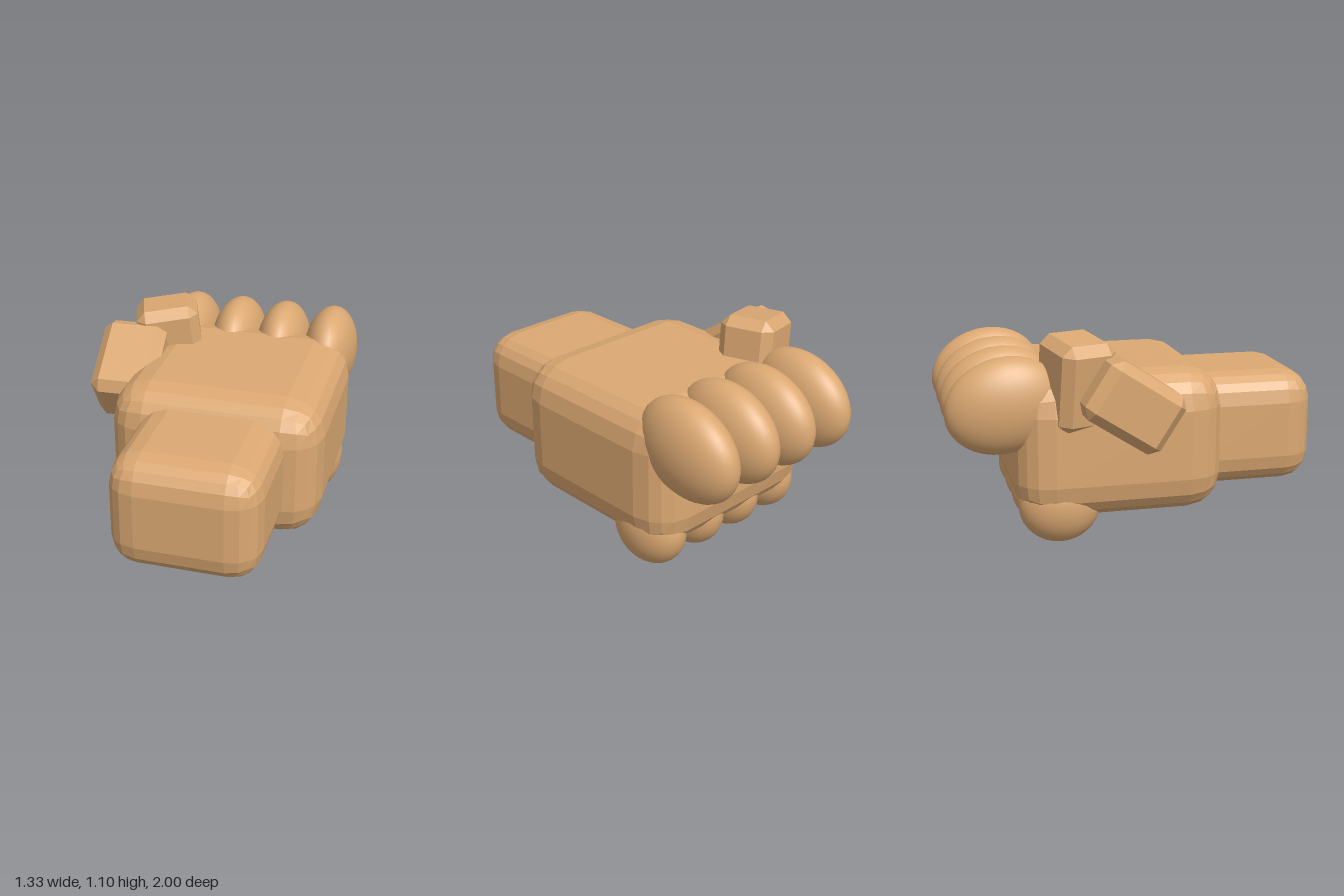
import * as THREE from 'three';
import { RoundedBoxGeometry } from 'three/addons/geometries/RoundedBoxGeometry.js';
import { ConvexGeometry } from 'three/addons/geometries/ConvexGeometry.js';

const skinFlat = new THREE.MeshStandardMaterial({ color: 0xdba872, flatShading: true });
const skinSmooth = new THREE.MeshStandardMaterial({ color: 0xdba872 });

// Box with every edge cut by a single flat bevel
function chamferBox(w, h, d, r) {
  const points = [];
  for (const x of [-w / 2, w / 2])
    for (const y of [-h / 2, h / 2])
      for (const z of [-d / 2, d / 2]) {
        const ix = x - Math.sign(x) * r, iy = y - Math.sign(y) * r, iz = z - Math.sign(z) * r;
        points.push(
          new THREE.Vector3(x, iy, iz),
          new THREE.Vector3(ix, y, iz),
          new THREE.Vector3(ix, iy, z)
        );
      }
  return new ConvexGeometry(points);
}

export function createModel() {
  const group = new THREE.Group();

  function add(name, geometry, material, position, rotation = [0, 0, 0]) {
    const mesh = new THREE.Mesh(geometry, material);
    mesh.name = name;
    mesh.position.set(...position);
    mesh.rotation.set(...rotation, 'YXZ');
    group.add(mesh);
    return mesh;
  }

  // Wrist and palm
  add('wrist', new RoundedBoxGeometry(0.77, 0.615, 0.8, 2, 0.16), skinFlat, [0.102, 0.518, 0.6]);
  add('palm', new RoundedBoxGeometry(1.125, 0.765, 1.11, 2, 0.2), skinFlat, [0.098, 0.518, -0.105]);

  // Knuckles along the upper back edge, curled fingertips underneath
  const ball = new THREE.SphereGeometry(1, 32, 20);
  [-0.305, -0.03, 0.235, 0.512].forEach((x, i) => {
    add('knuckle' + (i + 1), ball, skinSmooth, [x, 0.748, -0.695], [-0.27, 0, 0])
      .scale.set(0.148, 0.247, 0.309);
    add('fingertip' + (i + 1), ball, skinSmooth, [Math.min(x, 0.505), 0.21, -0.42])
      .scale.set(0.147, 0.206, 0.216);
  });

  // Thumb: tilted lower joint and upright upper joint
  add('thumbBase', chamferBox(0.35, 0.34, 0.46, 0.05), skinFlat,
    [-0.483, 0.773, -0.09], [0.58, 0.05, 0]);
  add('thumbTip', chamferBox(0.34, 0.46, 0.3, 0.05), skinFlat,
    [-0.335, 0.86, -0.335], [0, 0.32, 0.13]);

  return group;
}
